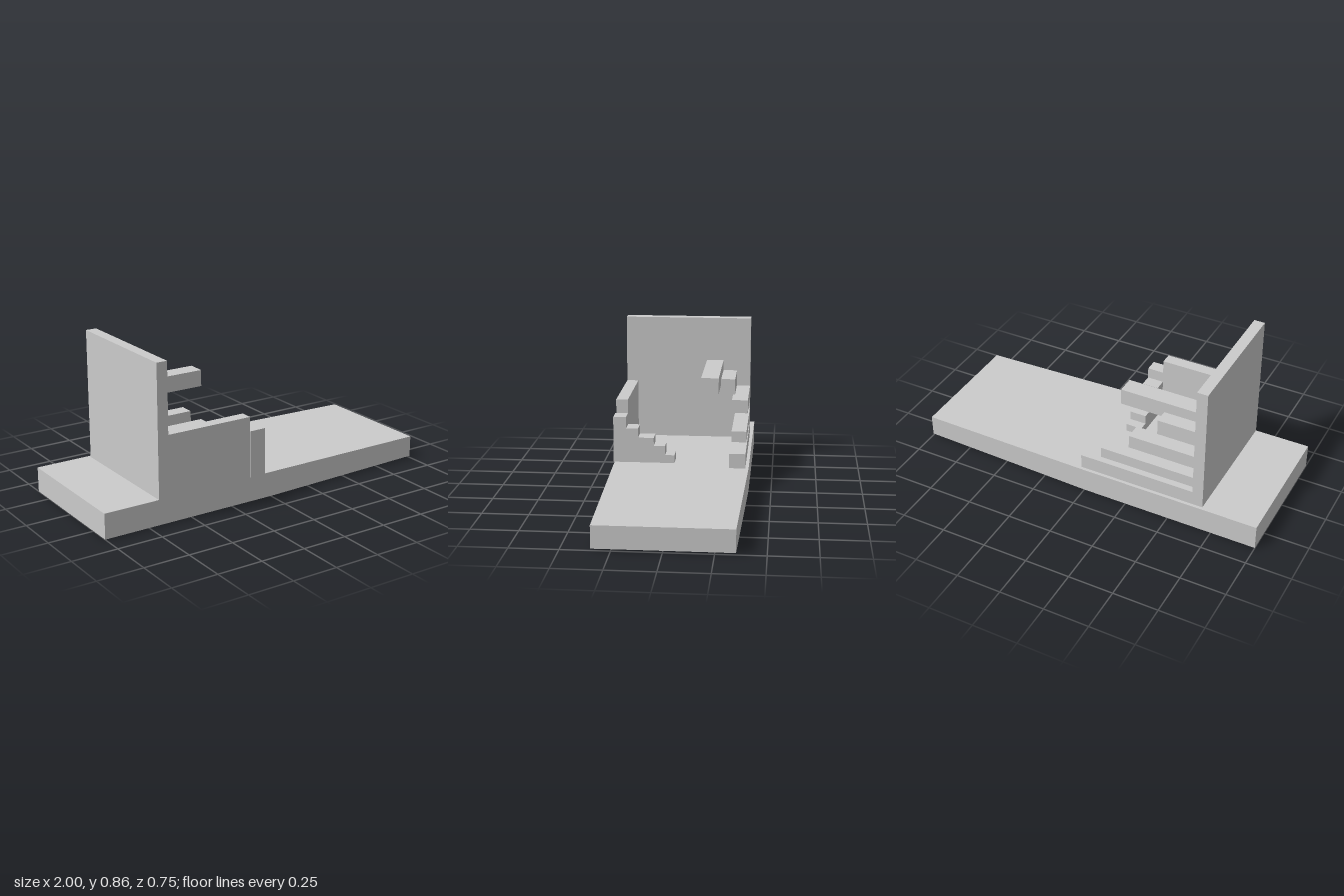
import * as THREE from 'three';

const material = new THREE.MeshStandardMaterial({ color: 0xcccccc, flatShading: true });

// Box given by its lower and upper limits on each axis
function block(name, [x0, x1], [y0, y1], [z0, z1]) {
  const mesh = new THREE.Mesh(new THREE.BoxGeometry(x1 - x0, y1 - y0, z1 - z0), material);
  mesh.position.set((x0 + x1) / 2, (y0 + y1) / 2, (z0 + z1) / 2);
  mesh.name = name;
  return mesh;
}

// Slab whose +x half narrows slightly in height and depth
function createBase() {
  const geometry = new THREE.BoxGeometry(2, 0.138, 0.748, 8, 1, 1);
  const p = geometry.attributes.position;
  for (let i = 0; i < p.count; i++) {
    const t = Math.max(0, p.getX(i));
    p.setY(i, p.getY(i) * (1 - 0.14 * t) + 0.069);
    p.setZ(i, p.getZ(i) * (1 - 0.064 * t) - 0.002);
  }
  geometry.computeVertexNormals();
  const base = new THREE.Mesh(geometry, material);
  base.name = 'base';
  return base;
}

// Stepped block descending from the front edge toward the middle
function createStairs() {
  const floor = 0.137;
  const steps = [[0.378, 0.395], [0.307, 0.332], [0.24, 0.28], [0.153, 0.235], [0.09, 0.183]];
  const innerEdge = 0.038;
  const shape = new THREE.Shape();
  shape.moveTo(-steps[0][0], floor);
  steps.forEach(([z, top], i) => {
    const next = i + 1 < steps.length ? steps[i + 1][0] : innerEdge;
    shape.lineTo(-z, top);
    shape.lineTo(-next, top);
  });
  shape.lineTo(-innerEdge, floor);
  const geometry = new THREE.ExtrudeGeometry(shape, { depth: 0.093, bevelEnabled: false });
  geometry.rotateY(Math.PI / 2); // profile runs along -z, extrusion along +x
  const stairs = new THREE.Mesh(geometry, material);
  stairs.position.x = -0.138;
  stairs.name = 'stairs';
  return stairs;
}

export function createModel() {
  const model = new THREE.Group();
  model.name = 'steppedStructure';
  model.add(createBase());

  // Tall wall and the low wall leading to the stairs
  model.add(block('tallWall', [-0.69, -0.63], [0.137, 0.856], [-0.358, 0.373]));
  model.add(block('lowWall', [-0.63, -0.138], [0.137, 0.473], [0.307, 0.373]));
  model.add(createStairs());

  // Cantilevered beams, lowest first: end x, height range, depth range
  const beams = new THREE.Group();
  beams.name = 'beams';
  [
    [0.025, [0.137, 0.219], [-0.358, -0.269]],
    [-0.095, [0.253, 0.314], [-0.358, -0.275]],
    [-0.26, [0.378, 0.453], [-0.358, -0.268]],
    [-0.385, [0.457, 0.545], [-0.28, -0.2]],
    [-0.133, [0.514, 0.605], [-0.2, -0.102]],
  ].forEach(([end, y, z], i) => beams.add(block(`beam${i + 1}`, [-0.63, end], y, z)));
  model.add(beams);
  return model;
}
